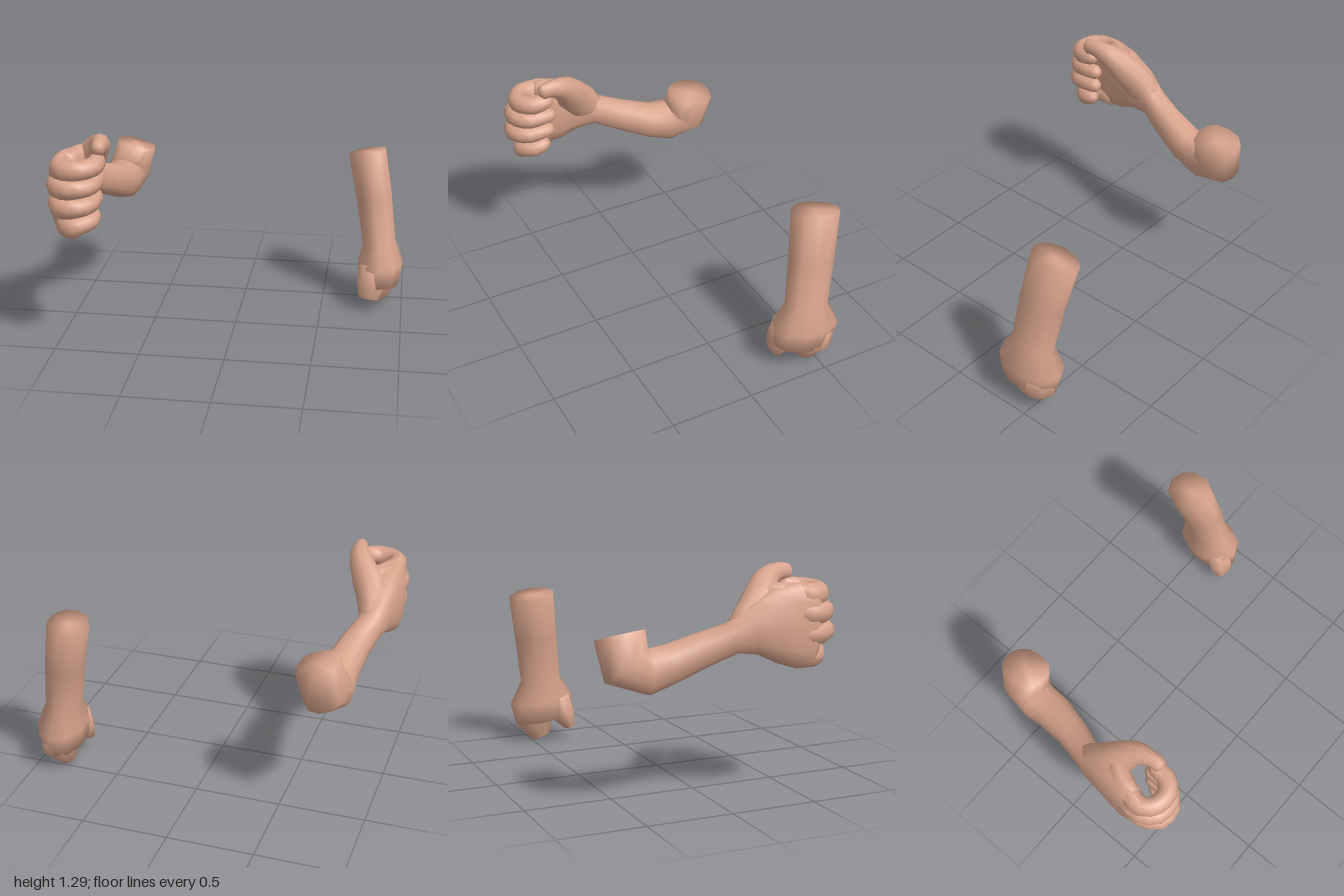
import * as THREE from 'three';

const skin = new THREE.MeshStandardMaterial({ color: 0xd9a48c });
skin.name = 'skin';

const X = new THREE.Vector3(1, 0, 0);
const Y = new THREE.Vector3(0, 1, 0);

// Closed skin over elliptical rings [x, y, z, a, b] strung along a path.
// b is the radius along ref, a the radius across it; sq < 1 makes rings squarer.
function limb(name, rings, { ref = X, sides = 10, steps = 1, cap0 = 0, cap1 = 0, sq = 1 } = {}) {
  const curve = new THREE.CatmullRomCurve3(rings.map(r => new THREE.Vector3(r[0], r[1], r[2])));
  const spans = rings.length - 1;
  const count = spans * steps;
  const centres = [];
  for (let i = 0; i <= count; i++) centres.push(curve.getPoint(i / count));

  const pos = [], index = [], tangents = [];
  const power = v => Math.sign(v) * Math.abs(v) ** sq;
  centres.forEach((c, i) => {
    const t = centres[Math.min(i + 1, count)].clone().sub(centres[Math.max(i - 1, 0)]).normalize();
    tangents.push(t);
    const side = ref.clone().cross(t).normalize();
    const up = t.clone().cross(side);
    const k = Math.min(Math.floor(i / steps), spans - 1);
    const f = i / steps - k;
    const a = THREE.MathUtils.lerp(rings[k][3], rings[k + 1][3], f);
    const b = THREE.MathUtils.lerp(rings[k][4], rings[k + 1][4], f);
    for (let j = 0; j < sides; j++) {
      const w = j / sides * Math.PI * 2;
      const p = c.clone().addScaledVector(side, power(Math.cos(w)) * a).addScaledVector(up, power(Math.sin(w)) * b);
      pos.push(p.x, p.y, p.z);
    }
  });
  for (let i = 0; i < count; i++) {
    for (let j = 0; j < sides; j++) {
      const n = (j + 1) % sides;
      const p = i * sides + j, q = i * sides + n;
      index.push(p, q, q + sides, p, q + sides, p + sides);
    }
  }
  // End caps
  const start = centres[0].clone().addScaledVector(tangents[0], -cap0);
  const end = centres[count].clone().addScaledVector(tangents[count], cap1);
  const s = pos.length / 3;
  pos.push(...start.toArray(), ...end.toArray());
  for (let j = 0; j < sides; j++) {
    const n = (j + 1) % sides;
    index.push(s, n, j, s + 1, count * sides + j, count * sides + n);
  }
  const geo = new THREE.BufferGeometry();
  geo.setAttribute('position', new THREE.Float32BufferAttribute(pos, 3));
  geo.setIndex(index);
  geo.computeVertexNormals();
  const mesh = new THREE.Mesh(geo, skin);
  mesh.name = name;
  return mesh;
}

function createRightArm() {
  const arm = new THREE.Group();
  arm.name = 'rightArm';

  // Upper arm stub, elbow, forearm, wrist and palm in one skin
  arm.add(limb('forearmAndPalm', [
    [-0.70, 0.945, -0.525, 0.138, 0.12],
    [-0.742, 0.79, -0.505, 0.15, 0.122],
    [-0.765, 0.75, -0.39, 0.125, 0.115],
    [-0.768, 0.785, -0.26, 0.105, 0.105],
    [-0.805, 0.855, -0.08, 0.094, 0.088],
    [-0.85, 0.91, 0.06, 0.088, 0.078],
    [-0.87, 0.95, 0.17, 0.14, 0.09],
    [-0.885, 0.965, 0.30, 0.205, 0.095],
    [-0.91, 0.962, 0.42, 0.235, 0.08],
    [-0.915, 0.96, 0.51, 0.225, 0.062],
    [-0.905, 0.955, 0.555, 0.19, 0.04],
  ], { sides: 12, sq: 0.85, cap1: 0.01 }));

  // Thumb with the broad web that joins it to the palm
  arm.add(limb('thumb', [
    [-0.85, 0.92, 0.06, 0.07, 0.06],
    [-0.845, 0.99, 0.16, 0.11, 0.085],
    [-0.80, 1.10, 0.25, 0.10, 0.095],
    [-0.73, 1.195, 0.325, 0.072, 0.068],
    [-0.705, 1.228, 0.41, 0.052, 0.046],
    [-0.70, 1.224, 0.475, 0.046, 0.04],
    [-0.70, 1.222, 0.495, 0.022, 0.02],
  ], { steps: 2, cap1: 0.005 }));

  // Web running down from the thumb to the index knuckle
  arm.add(limb('thumbWeb', [
    [-0.79, 1.12, 0.24, 0.07, 0.06],
    [-0.86, 1.12, 0.33, 0.075, 0.06],
    [-0.905, 1.13, 0.45, 0.06, 0.055],
  ], { sides: 8, steps: 2 }));

  // Four curled fingers: [name, knuckle x, base y, tip y, tip x, front z, tip z, radius]
  const fingers = [
    ['indexFinger', -0.915, 1.12, 1.152, -0.715, 0.57, 0.43, 0.056],
    ['middleFinger', -0.94, 1.025, 1.045, -0.725, 0.595, 0.41, 0.052],
    ['ringFinger', -0.935, 0.915, 0.94, -0.735, 0.605, 0.42, 0.052],
    ['littleFinger', -0.895, 0.785, 0.84, -0.745, 0.57, 0.45, 0.052],
  ];
  for (const [name, kx, y0, y1, tx, fz, tz, r] of fingers) {
    const y = f => y0 + (y1 - y0) * f;
    arm.add(limb(name, [
      [kx, y(0), 0.42, r * 0.9, r * 1.2],
      [kx + 0.005, y(0), 0.53, r, r * 1.2],
      [kx + 0.06, y(0.05), fz + 0.012, r, r * 1.15],
      [tx - 0.055, y(0.4), fz + 0.014, r, r],
      [tx, y(0.6), fz - 0.045, r * 0.95, r],
      [tx + 0.003, y(0.95), tz + 0.02, r * 0.85, r * 0.9],
      [tx, y(1), tz - 0.012, r * 0.45, r * 0.5],
    ], { ref: Y, steps: 2, cap0: 0.02, cap1: 0.008 }));
  }
  return arm;
}

function createLeftArm() {
  const arm = new THREE.Group();
  arm.name = 'leftArm';

  // Hanging arm swelling into a rounded end
  arm.add(limb('hangingArm', [
    [0.748, 0.955, -0.522, 0.145, 0.118],
    [0.802, 0.68, -0.48, 0.137, 0.113],
    [0.845, 0.39, -0.44, 0.13, 0.105],
    [0.857, 0.26, -0.435, 0.205, 0.145],
    [0.853, 0.13, -0.417, 0.188, 0.122],
  ], { cap1: 0.02 }));

  // Two short lobes at the lower end with a notch between them
  arm.add(limb('backLobe', [
    [0.86, 0.22, -0.465, 0.155, 0.125],
    [0.868, 0.12, -0.482, 0.125, 0.108],
    [0.84, 0.015, -0.44, 0.06, 0.055],
  ], { cap1: 0.004 }));
  arm.add(limb('frontLobe', [
    [0.83, 0.26, -0.34, 0.09, 0.10],
    [0.81, 0.15, -0.30, 0.075, 0.09],
    [0.80, 0.075, -0.265, 0.034, 0.065],
  ], { sides: 8, cap1: 0.01 }));
  return arm;
}

export function createModel() {
  const model = new THREE.Group();
  model.name = 'armPair';
  model.add(createRightArm(), createLeftArm());
  return model;
}
